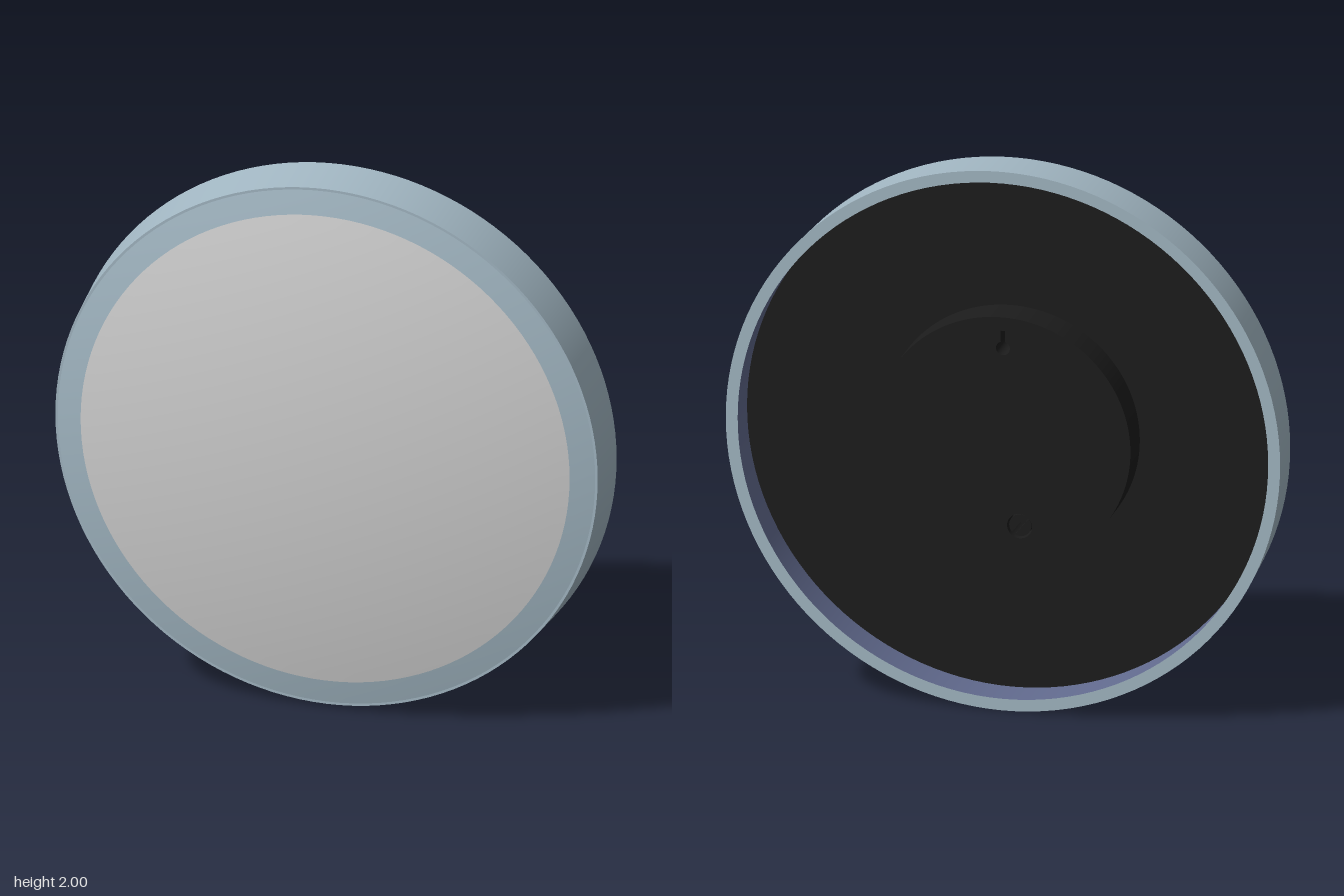
import * as THREE from 'three';

const SEG = 128;
const BACK = -0.145, SHOULDER = 0.045, FLOOR = -0.015, APEX = 0.145;
const DOME_R = 0.978, HUB_R = 0.46;

const material = (name, color) => {
  const m = new THREE.MeshStandardMaterial({ color });
  m.name = name;
  return m;
};

export function createModel() {
  const model = new THREE.Group();
  model.name = 'roundWallPuck';
  const rimBlue = material('greyBlue', 0xa3b8c4);
  const innerBlue = material('slateBlue', 0x626b8f);
  const lightGrey = material('lightGrey', 0xd0d0d0);
  const black = material('black', 0x1c1c1c);

  const body = new THREE.Group();
  body.name = 'body';
  body.position.y = 1;
  model.add(body);

  const add = (name, geometry, mat) => {
    const mesh = new THREE.Mesh(geometry, mat);
    mesh.name = name;
    body.add(mesh);
    return mesh;
  };
  // Surface of revolution about z; points are [radius, z]
  const turned = (name, points, mat) => add(name,
    new THREE.LatheGeometry(points.map(p => new THREE.Vector2(...p)), SEG).rotateX(Math.PI / 2), mat);

  // Rim, one smooth band per crease
  turned('rimBackEdge', [[0.957, BACK], [1, BACK]], rimBlue);
  turned('rimOuterWall', [[1, BACK], [0.987, SHOULDER]], rimBlue);
  turned('rimShoulder', [[0.987, SHOULDER], [DOME_R, SHOULDER]], rimBlue);
  turned('rimInnerWall', [[0.957, FLOOR], [0.957, BACK]], innerBlue);

  // Shallow spherical front: blue border, then the pale face
  const rise = APEX - SHOULDER;
  const sphereR = (DOME_R ** 2 + rise ** 2) / (2 * rise);
  const domeArc = (r0, r1, n) => Array.from({ length: n + 1 }, (_, i) => {
    const r = r0 + (r1 - r0) * i / n;
    return [r, APEX - sphereR + Math.sqrt(sphereR ** 2 - r * r)];
  });
  turned('frontBorder', domeArc(DOME_R, 0.89, 4), rimBlue);
  turned('frontFace', domeArc(0.89, 0, 24), lightGrey);

  // Recessed back plate
  turned('backPlate', [[0, FLOOR], [0.957, FLOOR]], black);

  // Raised hub with a keyhole slot and a screw hole
  const hub = new THREE.Shape().absarc(0, 0, HUB_R, 0, Math.PI * 2, false);
  const keyhole = new THREE.Path();
  keyhole.moveTo(0.008, 0.41);
  keyhole.lineTo(0.008, 0.37);
  keyhole.absarc(0, 0.345, 0.025, 1.25, Math.PI - 1.25, true);
  keyhole.lineTo(-0.008, 0.41);
  keyhole.closePath();
  const screwX = -0.06, screwY = -0.31, screwR = 0.045;
  const screwHole = new THREE.Path().absarc(screwX, screwY, screwR, 0, Math.PI * 2, true);
  hub.holes.push(keyhole, screwHole);
  const hubMesh = add('mountingHub', new THREE.ExtrudeGeometry(hub,
    { depth: FLOOR - BACK, bevelEnabled: false, curveSegments: 64 }), black);
  hubMesh.position.z = BACK;

  // Screw: two half heads leave a slot between them
  const screw = new THREE.Group();
  screw.name = 'screw';
  screw.position.set(screwX, screwY, BACK + 0.01);
  screw.rotation.z = -0.9;
  for (const side of [0, Math.PI]) {
    const half = new THREE.Shape().absarc(0, 0, 0.04, 0.18, Math.PI - 0.18, false);
    const mesh = new THREE.Mesh(new THREE.ExtrudeGeometry(half,
      { depth: 0.03, bevelEnabled: false, curveSegments: 24 }), black);
    mesh.name = 'screwHeadHalf';
    mesh.rotation.z = side;
    screw.add(mesh);
  }
  body.add(screw);

  return model;
}
